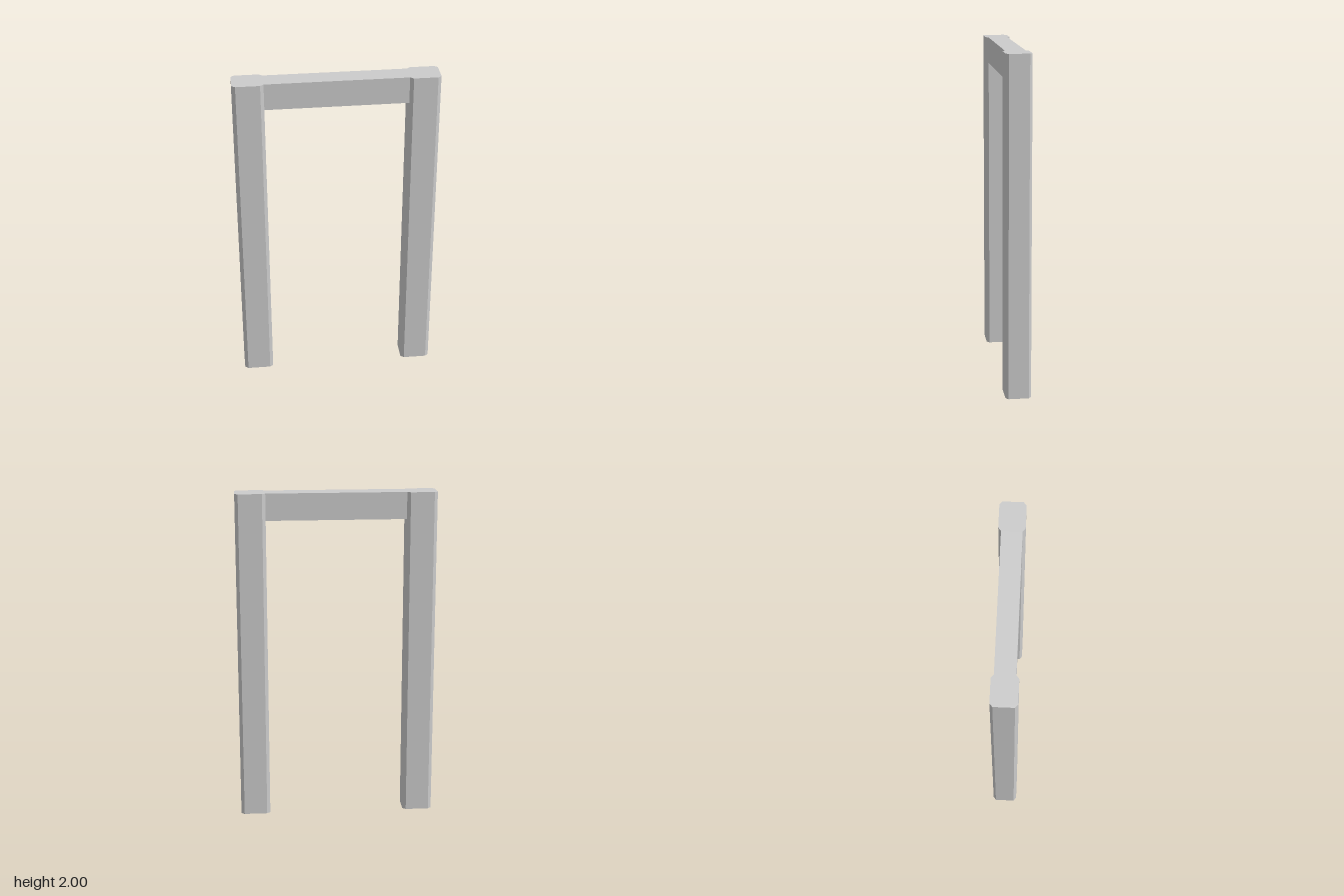
import * as THREE from 'three';

const HEIGHT = 2;
const OUTER = 0.595, INNER = 0.415; // post extents along x
const DEPTH = 0.075;                // half depth of a post
const BEVEL_X = 0.02, BEVEL_Z = 0.016;
const BEAM_HEIGHT = 0.16;

// Upright post: a rectangle with bevelled corners, extruded upwards
function postGeometry() {
  const w = (OUTER - INNER) / 2, d = DEPTH;
  const shape = new THREE.Shape([
    [w, -d + BEVEL_Z], [w, d - BEVEL_Z], [w - BEVEL_X, d], [-w + BEVEL_X, d],
    [-w, d - BEVEL_Z], [-w, -d + BEVEL_Z], [-w + BEVEL_X, -d], [w - BEVEL_X, -d],
  ].map(([x, y]) => new THREE.Vector2(x, y)));
  return new THREE.ExtrudeGeometry(shape, { depth: HEIGHT, bevelEnabled: false })
    .rotateX(-Math.PI / 2);
}

export function createModel() {
  const group = new THREE.Group();
  group.name = 'doorFrame';
  const material = new THREE.MeshStandardMaterial({ color: 0xcccccc, flatShading: true });

  // Mirrored pair of posts
  const geometry = postGeometry();
  for (const [name, side] of [['leftPost', 1], ['rightPost', -1]]) {
    const post = new THREE.Mesh(geometry, material);
    post.name = name;
    post.position.x = side * (OUTER + INNER) / 2;
    group.add(post);
  }

  // Lintel between the posts, flush with their tops and inner faces
  const lintel = new THREE.Mesh(
    new THREE.BoxGeometry(INNER * 2, BEAM_HEIGHT, (DEPTH - BEVEL_Z) * 2), material);
  lintel.name = 'lintel';
  lintel.position.y = HEIGHT - BEAM_HEIGHT / 2;
  group.add(lintel);

  return group;
}
